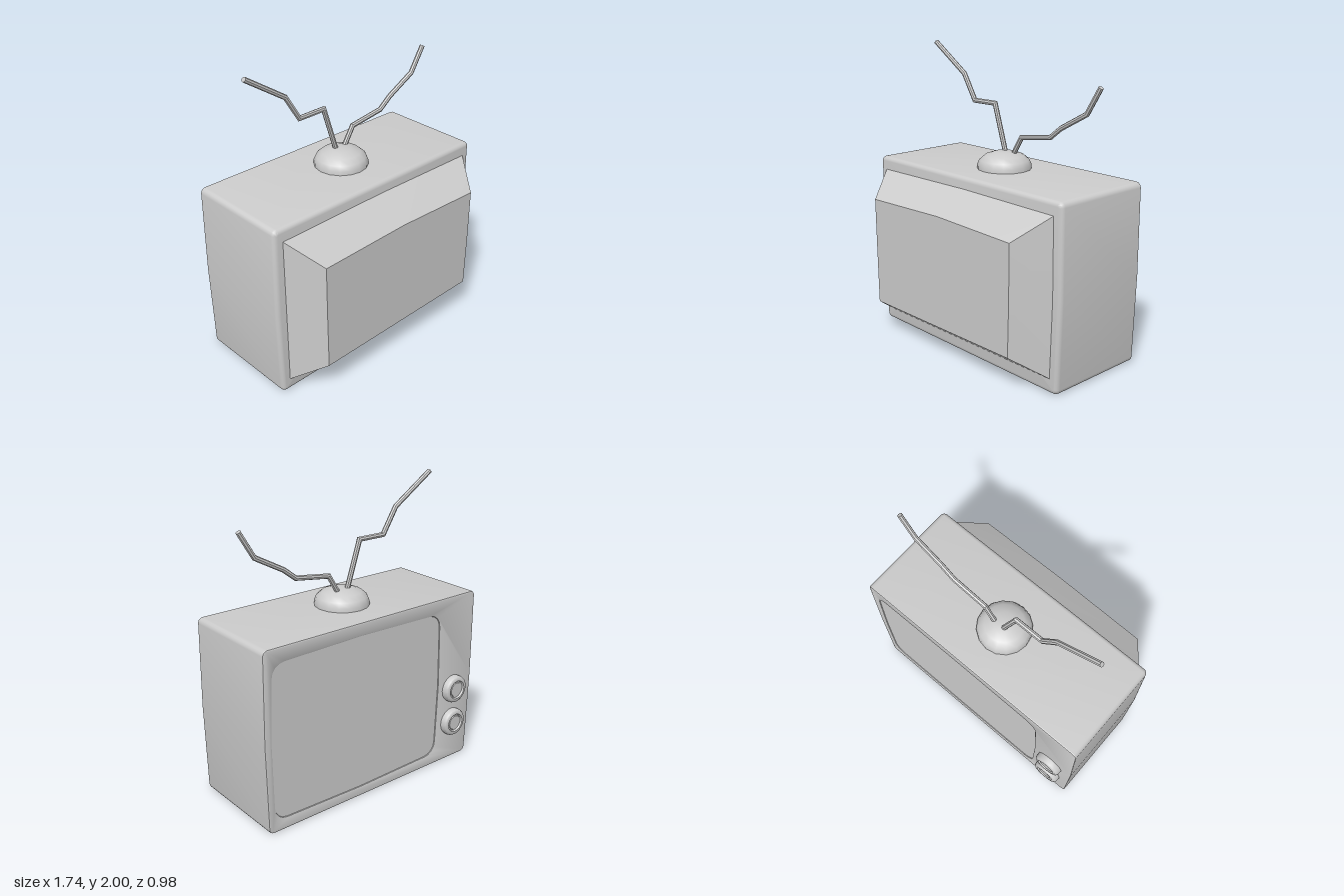
import * as THREE from 'three';
import { toCreasedNormals } from 'three/addons/utils/BufferGeometryUtils.js';

const material = new THREE.MeshStandardMaterial({ color: 0xcccccc });

function add(group, name, geometry, crease = 0.6) {
  const mesh = new THREE.Mesh(toCreasedNormals(geometry, crease), material);
  mesh.name = name;
  group.add(mesh);
  return mesh;
}

// Skin between rings of Vector3 (counter-clockwise along the travel), capped at both ends
function loft(rings) {
  const pos = [];
  const tri = (...pts) => pts.forEach((p) => pos.push(p.x, p.y, p.z));
  const n = rings[0].length;
  const centre = (ring) => ring.reduce((s, p) => s.add(p), new THREE.Vector3()).divideScalar(n);
  const first = rings[0], last = rings[rings.length - 1];
  const c0 = centre(first), c1 = centre(last);
  for (let i = 0; i < n; i++) {
    const j = (i + 1) % n;
    for (let k = 0; k < rings.length - 1; k++) {
      const a = rings[k], b = rings[k + 1];
      tri(a[i], a[j], b[j]);
      tri(a[i], b[j], b[i]);
    }
    tri(c0, first[j], first[i]);
    tri(c1, last[i], last[j]);
  }
  const g = new THREE.BufferGeometry();
  g.setAttribute('position', new THREE.Float32BufferAttribute(pos, 3));
  return g;
}

// Rounded four-corner outline; corners run bottom right, top right, top left, bottom left
function outline(corners, r, bulgeX, bulgeY, inset = 0) {
  const pts = [];
  const sx = [1, 1, -1, -1], sy = [-1, 1, 1, -1];
  corners.forEach(([x, y], i) => {
    const cx = x - sx[i] * r, cy = y - sy[i] * r;
    for (let k = 0; k <= 4; k++) {
      const a = (i - 1 + k / 4) * Math.PI / 2;
      pts.push(new THREE.Vector2(cx + (r - inset) * Math.cos(a), cy + (r - inset) * Math.sin(a)));
    }
    // slightly bowed middle of the following side
    const [nx, ny] = corners[(i + 1) % 4];
    const ox = [1, 0, -1, 0][i], oy = [0, 1, 0, -1][i];
    pts.push(new THREE.Vector2((x + nx) / 2 + ox * (bulgeX - inset), (y + ny) / 2 + oy * (bulgeY - inset)));
  });
  return pts;
}

const atZ = (pts, z) => pts.map((p) => new THREE.Vector3(p.x, p.y, z));

// Bent rod with mitred joints in a plane of constant z
function rod(path, z, r, sides = 8) {
  const p = path.map(([x, y]) => new THREE.Vector2(x, y));
  const dir = (i) => p[i + 1].clone().sub(p[i]).normalize();
  return loft(p.map((c, i) => {
    const d0 = dir(Math.max(i - 1, 0)), d1 = dir(Math.min(i, p.length - 2));
    const t = d0.clone().add(d1).normalize();
    const w = r / t.dot(d1);
    return Array.from({ length: sides }, (_, k) => {
      const a = k / sides * Math.PI * 2, u = Math.cos(a) * w;
      return new THREE.Vector3(c.x - t.y * u, c.y + t.x * u, z + Math.sin(a) * r);
    });
  }));
}

const lathe = (profile, sides) =>
  new THREE.LatheGeometry(profile.map(([x, y]) => new THREE.Vector2(x, y)), sides);

export function createModel() {
  const group = new THREE.Group();

  // Cabinet with a rounded edge on the +z side
  const cabinet = [[0.847, 0], [0.86, 1.21], [-0.87, 1.21], [-0.857, 0]];
  const body = (inset) => outline(cabinet, 0.035, 0.01, 0, inset);
  const rings = [atZ(body(0), -0.428)];
  for (let k = 0; k <= 4; k++) {
    const a = k / 4 * Math.PI / 2;
    rings.push(atZ(body(0.03 * (1 - Math.cos(a))), 0.25 + 0.03 * Math.sin(a)));
  }
  add(group, 'cabinet', loft(rings));

  // Face plate around the screen
  const screen = outline([[-0.55, 0.08], [-0.55, 1.11], [0.8, 1.11], [0.8, 0.08]]
    .map(([x, y]) => [x + 1.35 * (x < 0), y]).map(([x, y], i) => [i < 2 ? 0.8 : -0.55, y]), 0.09, 0.012, 0.012);
  const plate = new THREE.Shape(body(0));
  plate.holes.push(new THREE.Path(screen));
  const plateGeometry = new THREE.ExtrudeGeometry(plate, {
    depth: 0.004, bevelThickness: 0.008, bevelSize: 0.008, bevelOffset: -0.008, bevelSegments: 2,
  });
  plateGeometry.translate(0, 0, -0.432);
  add(group, 'facePlate', plateGeometry);

  // Screen, just below the face plate
  add(group, 'screen', loft([atZ(screen, -0.433), atZ(screen, -0.425)]));

  // Tapered tube housing
  const housing = [
    [[0.79, 0.095], [0.805, 0.6], [0.8, 1.125], [0, 1.135], [-0.81, 1.125], [-0.805, 0.6], [-0.8, 0.08]],
    [[0.64, 0.25], [0.648, 0.6], [0.65, 0.97], [0, 0.99], [-0.66, 0.97], [-0.656, 0.6], [-0.65, 0.235]],
  ].map((ring, i) => ring.map(([x, y]) => new THREE.Vector3(x, y, i ? 0.49 : 0.275)));
  add(group, 'tubeHousing', loft(housing), 0.1);

  // Two dials with a grooved cap
  const dial = [[0.097, -0.01], [0.097, 0.03], [0.091, 0.043], [0.08, 0.05], [0.066, 0.05],
    [0.06, 0.038], [0.053, 0.038], [0.05, 0.044], [0, 0.044]];
  for (const [name, y] of [['upperDial', 0.537], ['lowerDial', 0.285]]) {
    const mesh = add(group, name, lathe(dial, 20).rotateX(-Math.PI / 2));
    mesh.position.set(-0.7, y, -0.438);
  }

  // Antenna base and two crooked antennas
  const dome = [[0.18, 1.2], [0.18, 1.235], [0.166, 1.268], [0.13, 1.299], [0.07, 1.32], [0, 1.325]];
  add(group, 'antennaBase', lathe(dome, 16)).position.z = -0.09;
  add(group, 'leftAntenna', rod([[0.04, 1.28], [0.13, 1.428], [0.385, 1.465], [0.475, 1.535],
    [0.68, 1.647], [0.783, 1.815]], -0.118, 0.017));
  add(group, 'rightAntenna', rod([[-0.01, 1.28], [-0.12, 1.622], [-0.32, 1.62], [-0.425, 1.79],
    [-0.72, 1.985]], -0.118, 0.017));

  return group;
}
